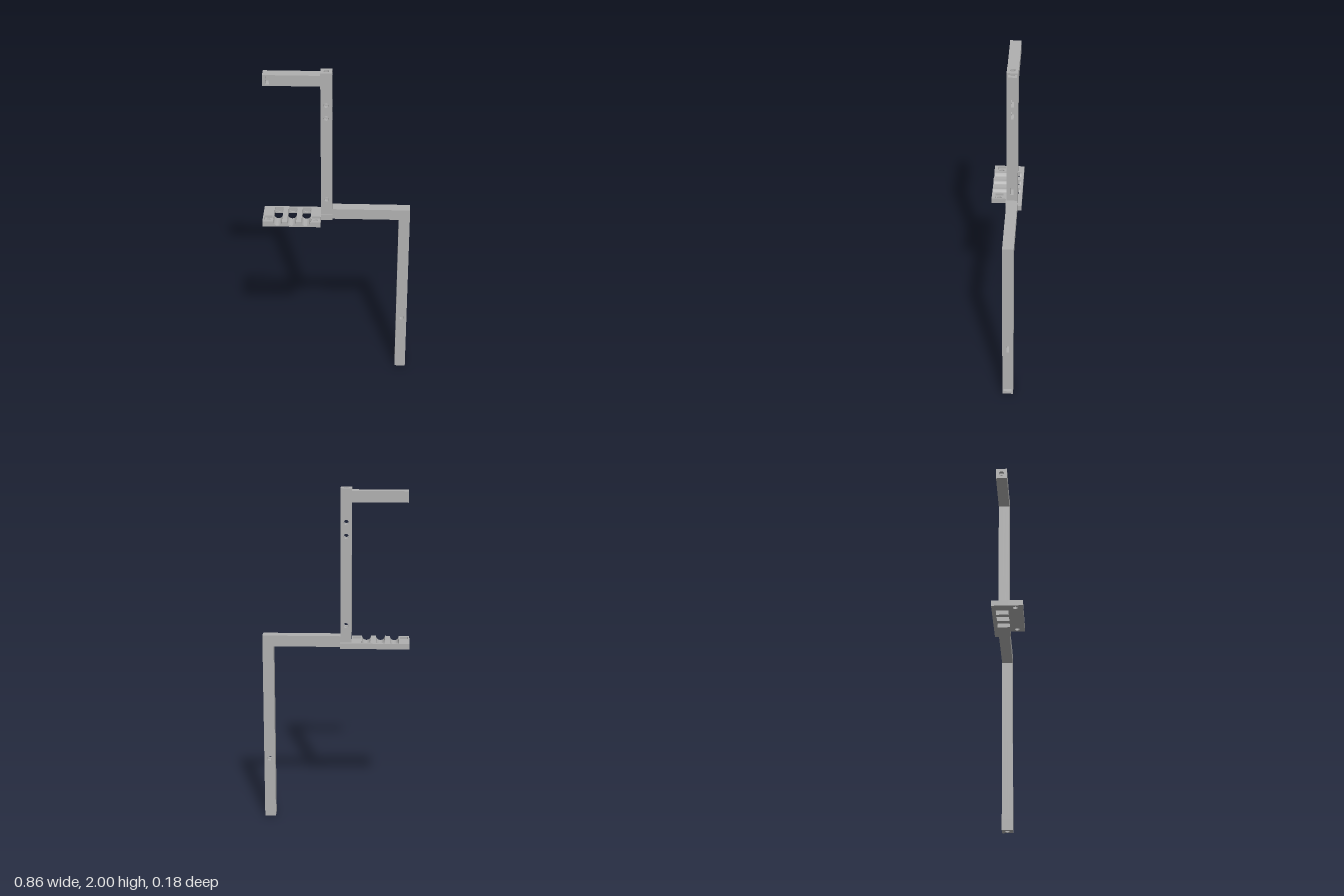
import * as THREE from 'three';
import { toCreasedNormals } from 'three/addons/utils/BufferGeometryUtils.js';

const W = 0.065;            // bar thickness
const ZB = -0.067, ZF = -0.002, ZC = (ZB + ZF) / 2;
const HOLE = 0.0145;

export function createModel() {
  const root = new THREE.Group();
  root.name = 'bracket';
  const grey = new THREE.MeshStandardMaterial({ color: 0xb0b0b0 });
  grey.name = 'grey plastic';

  const group = (name, parent = root) => {
    const g = new THREE.Group();
    g.name = name;
    parent.add(g);
    return g;
  };
  const add = (geo, name, parent) => {
    const m = new THREE.Mesh(geo, grey);
    m.name = name;
    parent.add(m);
    return m;
  };
  const box = (x0, x1, y0, y1, z0, z1, name, parent) => {
    const g = new THREE.BoxGeometry(x1 - x0, y1 - y0, z1 - z0);
    g.translate((x0 + x1) / 2, (y0 + y1) / 2, (z0 + z1) / 2);
    return add(g, name, parent);
  };
  const poly = (pts) => new THREE.Shape(pts.map(([x, y]) => new THREE.Vector2(x, y)));
  const rect = (x0, x1, y0, y1) => poly([[x0, y0], [x1, y0], [x1, y1], [x0, y1]]);
  const drill = (shape, x, y) => {
    const p = new THREE.Path();
    p.absarc(x, y, HOLE, 0, Math.PI * 2, true);
    shape.holes.push(p);
    return shape;
  };
  const extrude = (shape, z0, z1) => {
    const g = new THREE.ExtrudeGeometry(shape, { depth: z1 - z0, bevelEnabled: false, curveSegments: 16 });
    g.translate(0, 0, z0);
    return toCreasedNormals(g, 0.6);
  };

  // Upright bar: bolt holes through z, nut slots opening on the +x face
  function upright(name, x0, y0, y1, holeYs) {
    const g = group(name), x1 = x0 + W, xc = x0 + W / 2;
    const s0 = ZC - 0.008, s1 = ZC + 0.008;
    for (const [a, b] of [[ZB, s0], [s1, ZF]]) {
      const s = rect(x0, x1, y0, y1);
      holeYs.forEach((y) => drill(s, xc, y));
      add(extrude(s, a, b), 'outerLayer', g);
    }
    const pts = [[x0, y1], [x0, y0], [x1, y0]];
    for (const y of holeYs) {
      pts.push([x1, y - 0.025], [x0 + 0.01, y - 0.025], [x0 + 0.01, y + 0.025], [x1, y + 0.025]);
    }
    pts.push([x1, y1]);
    add(extrude(poly(pts), s0, s1), 'slottedLayer', g);
  }

  // Bar end: axial bolt hole with a nut slot behind it (outward = local +z, slot opens at +x)
  function socket(name, a, b, length) {
    const g = group(name), h = W / 2;
    add(extrude(drill(rect(-h, h, -h, h), 0, 0), -a, 0), 'endWall', g);
    const n = 0.025;
    add(extrude(poly([[-h, -h], [h, -h], [h, -n], [-n, -n], [-n, n], [h, n], [h, h], [-h, h]]), -b, -a), 'nutSlot', g);
    add(extrude(drill(rect(-h, h, -h, h), 0, 0), -length, -b), 'boltShaft', g);
    return g;
  }

  // Frame bars
  upright('upperPost', -0.091, 1.067, 1.93, [1.2, 1.725, 1.805]);
  upright('lowerLeg', 0.365, 0.07, 1.135, [0.37]);
  box(-0.026, 0.365, 1.07, 1.135, ZB, ZF, 'middleArm', root);
  box(-0.343, -0.091, 1.92, 1.985, ZB, ZF, 'topArm', root);

  const postEnd = socket('postEnd', 0.01, 0.028, 0.07);
  postEnd.rotation.x = -Math.PI / 2;
  postEnd.position.set(-0.0585, 2, ZC);

  const legEnd = socket('legEnd', 0.02, 0.04, 0.07);
  legEnd.rotation.x = Math.PI / 2;
  legEnd.position.set(0.3975, 0, ZC);

  const armEnd = socket('armEnd', 0.016, 0.037, 0.07);
  armEnd.rotation.y = -Math.PI / 2;
  armEnd.position.set(-0.413, 1.9525, ZC);

  // Side plate with three cable grooves
  const plate = group('cablePlate');
  const P0 = 1.065, P1 = 1.098, ZM = 0.005, ZE = 0.09;
  const XL = -0.43, XA = -0.371, XB = -0.147, XE = -0.092;
  const grooves = [-0.3415, -0.2595, -0.1765], R = 0.026;

  const grooved = () => {
    const s = new THREE.Shape();
    s.moveTo(XA, P0);
    s.lineTo(XB, P0);
    s.lineTo(XB, P1);
    for (const x of [...grooves].reverse()) {
      s.lineTo(x + R, P1);
      s.absarc(x, P1, R, 0, -Math.PI, true);
    }
    s.lineTo(XA, P1);
    return s;
  };
  add(extrude(grooved(), ZM, ZE), 'frontGrooves', plate);
  add(extrude(grooved(), -0.077, -0.067), 'rearGrooves', plate);
  box(XA, XB, P0, P1, -0.09, -0.077, 'rearWall', plate);
  box(XL, XA, P0, P1, -0.09, ZM, 'outerRail', plate);
  box(XB, -0.024, P0, P1, -0.09, ZM, 'postFoot', plate);

  // Ribs between the open windows
  const edges = [XA, ...grooves.flatMap((x) => [x - R, x + R]), XB];
  for (let i = 0; i < edges.length; i += 2) {
    box(edges[i], edges[i + 1], P0, P1, -0.067, ZM, 'windowRib', plate);
  }

  // Screw pads: round hole below, square nut pocket above
  const flat = (shape, y0, y1, name) => {
    const g = extrude(shape, 0, y1 - y0);
    g.rotateX(Math.PI / 2);
    g.translate(0, y1, 0);
    add(g, name, plate);
  };
  for (const [x0, x1, cx] of [[XL, XA, -0.398], [XB, XE, -0.12]]) {
    const cz = 0.046, n = 0.0235;
    flat(drill(rect(x0, x1, ZM, ZE), cx, cz), P0, 1.083, 'screwPad');
    const rim = rect(x0, x1, ZM, ZE);
    rim.holes.push(rect(cx - n, cx + n, cz - n, cz + n));
    flat(rim, 1.083, P1, 'nutPocket');
  }
  return root;
}
